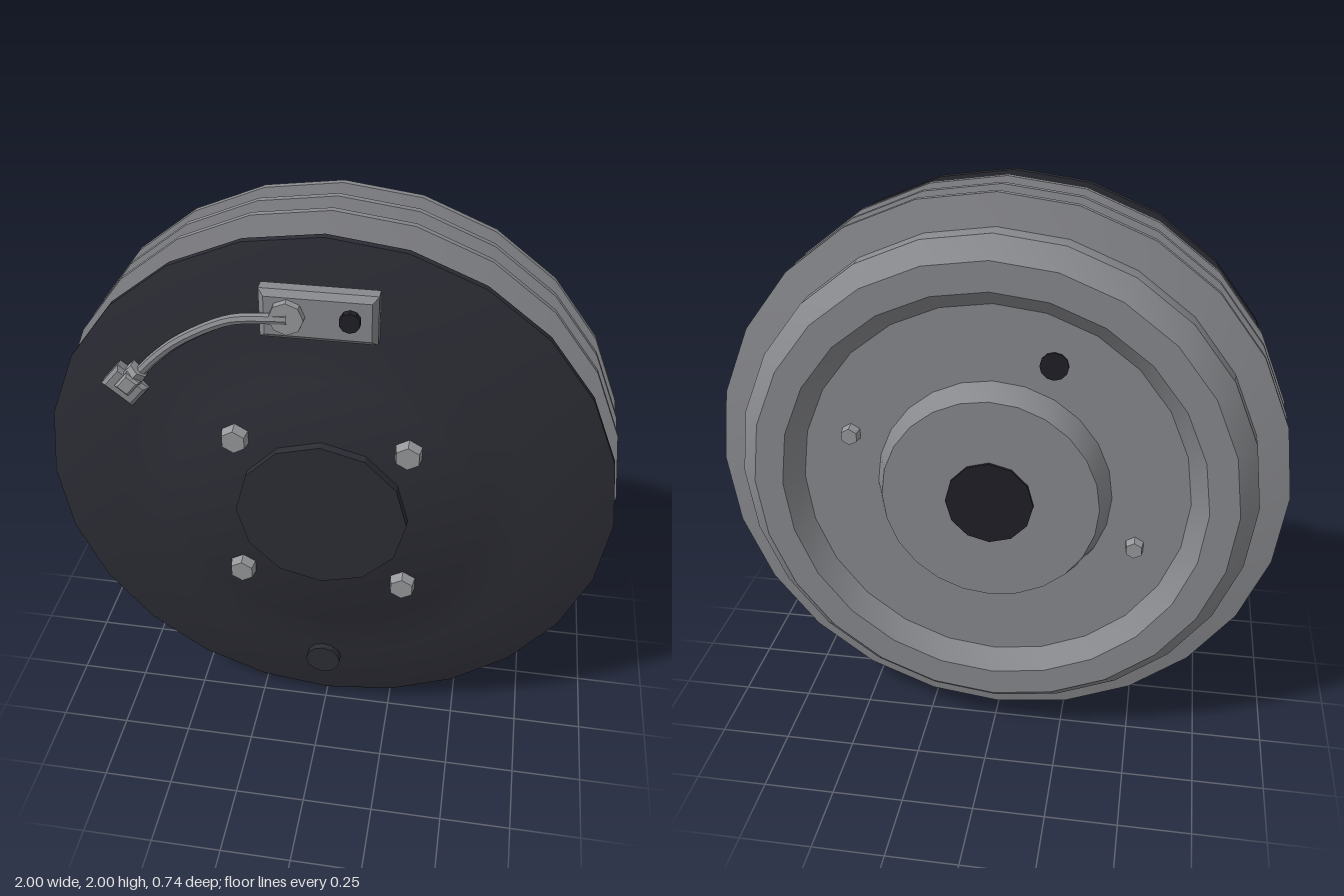
import * as THREE from 'three';
import { toCreasedNormals } from 'three/addons/utils/BufferGeometryUtils.js';

const mat = (name, color, flatShading = false) => {
  const m = new THREE.MeshStandardMaterial({ color, flatShading });
  m.name = name;
  return m;
};

export function createModel() {
  const castGrey = mat('cast grey', 0x88898d);
  const steel = mat('steel', 0x97989b);
  const plateDark = mat('dark plate', 0x2c2c35);
  const black = mat('black', 0x1f1f26);

  const model = new THREE.Group();
  model.name = 'brakeDrum';
  const wheel = new THREE.Group(); // origin on the axle, z along it
  wheel.name = 'drumAssembly';
  wheel.position.y = 1;
  model.add(wheel);

  const add = (name, geo, material, x = 0, y = 0, z = 0, parent = wheel) => {
    const mesh = new THREE.Mesh(toCreasedNormals(geo, 0.5), material);
    mesh.name = name;
    mesh.position.set(x, y, z);
    parent.add(mesh);
    return mesh;
  };
  // Revolve [radius, z] pairs, listed from back to front, about the z axis
  const turned = (pts, sides) =>
    new THREE.LatheGeometry(pts.map(([r, z]) => new THREE.Vector2(r, z)), sides).rotateX(Math.PI / 2);
  // Cylinder running from z = 0 to z = depth
  const rod = (rFront, rBack, depth, sides) =>
    new THREE.CylinderGeometry(rFront, rBack, depth, sides).rotateX(Math.PI / 2).translate(0, 0, depth / 2);
  // Box with chamfered edges, running from z = 0 to z = d
  const chamferBox = (w, h, d, b) => {
    const x = w / 2 - b, y = h / 2 - b;
    const s = new THREE.Shape([[-x, -y], [x, -y], [x, y], [-x, y]].map(p => new THREE.Vector2(...p)));
    return new THREE.ExtrudeGeometry(s, {
      depth: d - 2 * b, bevelEnabled: true, bevelSize: b, bevelThickness: b, bevelSegments: 1,
    }).translate(0, 0, b);
  };

  // Drum: hub, recessed back, chamfered shoulder, three cooling fins and lip
  const fins = [-0.165, -0.06, 0.048].flatMap(z =>
    [[0.895, z - 0.028], [1, z - 0.011], [1, z + 0.011], [0.895, z + 0.028]]);
  add('drum', turned([
    [0, -0.36], [0.37, -0.36], [0.405, -0.27], [0.67, -0.27], [0.73, -0.335],
    [0.83, -0.335], [0.895, -0.265], ...fins,
    [0.895, 0.135], [0.93, 0.14], [0.945, 0.16], [0.945, 0.195], [0, 0.195],
  ], 24), castGrey);

  // Back details: axle bore, inspection hole and two screws
  add('axleBore', rod(0.15, 0.15, 0.012, 12), black, 0, 0, -0.37);
  add('inspectionHole', rod(0.048, 0.048, 0.008, 12), black, -0.2, 0.47, -0.277);
  for (const s of [1, -1]) {
    add('backScrew', rod(0.036, 0.03, 0.04, 6), steel, 0.49 * s, 0.18 * s, -0.305);
  }

  // Dished backing plate with raised centre
  add('backingPlate', turned([
    [0, 0.19], [0.985, 0.19], [0.985, 0.215], [0.7, 0.283], [0.56, 0.285],
    [0.53, 0.298], [0, 0.298],
  ], 24), plateDark);
  add('centreCap', rod(0.295, 0.295, 0.035, 12), plateDark, 0, 0, 0.295);
  add('plug', rod(0.064, 0.064, 0.045, 12), plateDark, 0, -0.73, 0.262);

  // Mounting bolts
  for (const x of [-0.288, 0.288]) for (const y of [-0.288, 0.288]) {
    add('mountingBolt', rod(0.043, 0.052, 0.045, 6), steel, x, y, 0.29);
  }

  // Hydraulic inlet block with bleeder and pipe fitting
  add('inletBlock', chamferBox(0.365, 0.165, 0.075, 0.018), castGrey, -0.002, 0.773, 0.255);
  add('bleederStem', rod(0.02, 0.02, 0.025, 10), black, 0.1, 0.79, 0.325);
  add('bleederCap', rod(0.033, 0.033, 0.024, 10), black, 0.1, 0.79, 0.346);
  add('pipeFitting', rod(0.054, 0.056, 0.028, 8), steel, -0.095, 0.777, 0.325);

  // Brake pipe
  const path = new THREE.CatmullRomCurve3([
    [-0.09, 0.775, 0.345], [-0.17, 0.765, 0.335], [-0.29, 0.72, 0.288],
    [-0.45, 0.63, 0.275], [-0.54, 0.555, 0.272], [-0.61, 0.48, 0.272],
  ].map(p => new THREE.Vector3(...p)));
  add('brakePipe', new THREE.TubeGeometry(path, 16, 0.018, 8), castGrey);

  // Pipe end connector, tilted in line with the pipe
  const end = new THREE.Group();
  end.name = 'pipeEnd';
  end.position.set(-0.652, 0.442, 0.243);
  end.rotation.z = -0.7;
  wheel.add(end);
  add('connectorBlock', chamferBox(0.125, 0.1, 0.055, 0.012), castGrey, 0, 0, 0, end);
  add('connectorNut', new THREE.CylinderGeometry(0.034, 0.04, 0.055, 6), steel, 0, 0.055, 0.03, end);
  add('connectorBoss', chamferBox(0.055, 0.07, 0.03, 0.008), steel, 0, 0.025, 0.042, end);

  return model;
}
